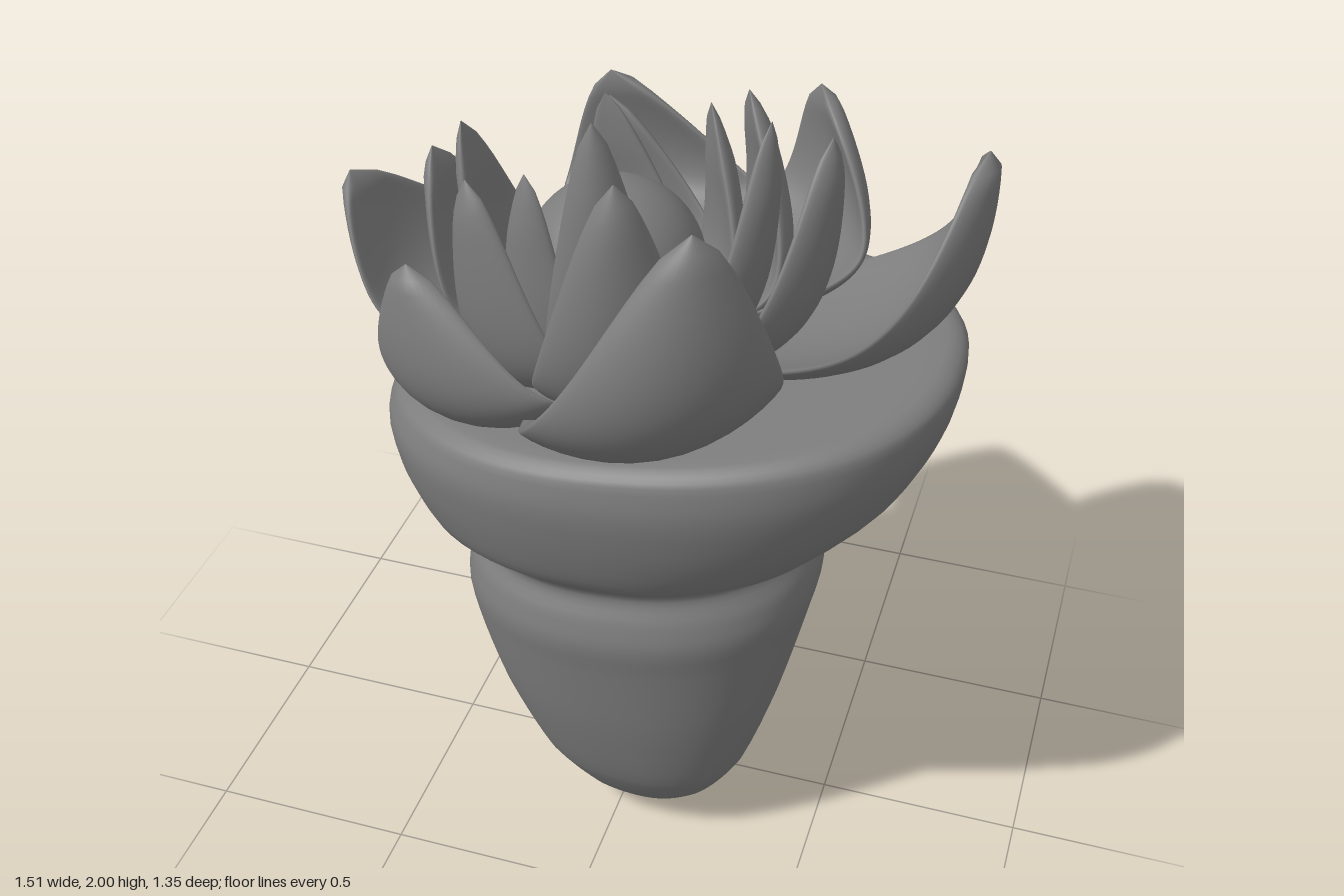
import * as THREE from 'three';

const V = (x, y, z) => new THREE.Vector3(x, y, z);
const material = new THREE.MeshStandardMaterial({ color: 0x7c7c7c });
const heart = V(-0.075, 1.49, -0.015);
const flowerUp = V(-0.16, 1, -0.08).normalize();

// Smooth skin over closed rings of equal point count
function loft(rings) {
  const n = rings[0].length, index = [];
  for (let i = 0; i < rings.length - 1; i++) {
    for (let j = 0; j < n; j++) {
      const k = (j + 1) % n, a = i * n, b = a + n;
      index.push(a + j, b + j, a + k, b + j, b + k, a + k);
    }
  }
  const geometry = new THREE.BufferGeometry().setFromPoints(rings.flat());
  geometry.setIndex(index);
  geometry.computeVertexNormals();
  return geometry;
}

function add(parent, name, geometry) {
  const mesh = new THREE.Mesh(geometry, material);
  mesh.name = name;
  parent.add(mesh);
  return mesh;
}

// Cone and bowl sections: centre x, y, z, radius x, radius z, tilt along x
const sections = [
  [0.06, 0, 0.13, 0.002, 0.002, 0],
  [0.06, 0.008, 0.13, 0.055, 0.042, 0],
  [0.06, 0.03, 0.13, 0.107, 0.08, 0],
  [0.055, 0.1, 0.127, 0.194, 0.145, 0],
  [0.043, 0.2, 0.12, 0.27, 0.203, 0],
  [0.022, 0.4, 0.085, 0.358, 0.277, 0.02],
  [0.01, 0.6, 0.04, 0.42, 0.34, 0.06],
  [0.01, 0.7, 0.02, 0.44, 0.367, 0.08],
  [0.01, 0.76, 0.015, 0.433, 0.355, 0.08],
  [0.01, 0.815, 0.01, 0.41, 0.335, 0.08],
  [-0.02, 0.865, 0.01, 0.447, 0.37, 0.05],
  [-0.01, 0.93, 0.01, 0.52, 0.44, 0.03],
  [0.03, 1.06, -0.005, 0.62, 0.495, 0.06],
  [0.055, 1.19, -0.02, 0.667, 0.525, 0.1],
  [0.07, 1.27, -0.03, 0.663, 0.52, 0.13],
  [0.07, 1.3, -0.03, 0.615, 0.48, 0.14],
  [0.06, 1.3, -0.03, 0.48, 0.37, 0.14],
  [0.06, 1.3, -0.03, 0.002, 0.002, 0.14],
];

function bodyGeometry() {
  const centres = new THREE.CatmullRomCurve3(sections.map(s => V(s[0], s[1], s[2])));
  const sizes = new THREE.CatmullRomCurve3(sections.map(s => V(s[3], s[4], s[5])));
  const rings = [], steps = (sections.length - 1) * 4, sides = 72;
  const round = v => Math.sign(v) * Math.abs(v) ** 0.9; // slightly squared ellipse
  for (let i = 0; i <= steps; i++) {
    const c = centres.getPoint(i / steps), s = sizes.getPoint(i / steps), ring = [];
    for (let j = 0; j < sides; j++) {
      const a = (j / sides) * Math.PI * 2;
      const x = s.x * round(Math.cos(a)), z = s.y * round(Math.sin(a));
      ring.push(V(c.x + x, Math.max(0, c.y + s.z * (x - 0.14 * z)), c.z + z));
    }
    rings.push(ring);
  }
  return loft(rings);
}

// Cupped pointed petal: runs outward from the heart, bends up at the bulge, ends at its tip
function petalGeometry([tx, ty, tz, bx, bz, width], reach) {
  const out = V(bx - heart.x, 0, bz - heart.z).normalize();
  const side = out.clone().cross(flowerUp).normalize();
  const base = heart.clone().addScaledVector(out, reach);
  base.y = 1.3 + 0.14 * (base.x - 0.06) - 0.02 * base.z;
  const bulge = V(bx, 1.31 + 0.14 * bx + 0.06 * bz, bz), tip = V(tx, ty, tz);
  const spine = new THREE.CubicBezierCurve3(
    base, base.clone().lerp(bulge, 0.8), tip.clone().lerp(bulge, 0.8), tip);
  const rings = [], steps = 32, sides = 32;
  for (let i = 0; i <= steps; i++) {
    const t = i / steps;
    const p = spine.getPoint(t);
    const inward = side.clone().cross(spine.getTangent(t)).normalize();
    const w = width * Math.max(0, Math.sin(Math.PI * (0.17 + 0.83 * t))) ** 0.62 + 0.001;
    const thick = Math.min(0.025, w * 0.4);
    const ring = [];
    for (let j = 0; j < sides; j++) {
      const a = (j / sides) * Math.PI * 2, s = Math.cos(a);
      ring.push(p.clone().addScaledVector(side, s * w)
        .addScaledVector(inward, 0.3 * w * s * s + thick * Math.sin(a)));
    }
    rings.push(ring);
  }
  return loft(rings);
}

// Petals: tip x, y, z, bulge x, z, half width
const whorls = [
  ['outerPetal', 0.2, [
    [0.27, 1.95, 0.56, 0.28, 0.74, 0.265],
    [0.73, 1.89, -0.05, 0.76, 0.03, 0.285],
    [0.26, 1.73, -0.57, 0.47, -0.46, 0.25],
    [-0.28, 1.67, -0.61, -0.08, -0.74, 0.27],
    [-0.74, 1.6, -0.06, -0.6, -0.12, 0.285],
    [-0.39, 1.68, 0.41, -0.33, 0.55, 0.265],
  ]],
  ['middlePetal', 0.14, [
    [0.06, 1.93, 0.39, 0.09, 0.48, 0.175],
    [0.41, 1.89, -0.01, 0.44, 0.07, 0.175],
    [0.14, 1.8, -0.35, 0.34, -0.27, 0.16],
    [-0.22, 1.7, -0.42, -0.07, -0.47, 0.175],
    [-0.54, 1.68, -0.09, -0.48, -0.11, 0.19],
    [-0.32, 1.8, 0.24, -0.28, 0.31, 0.17],
  ]],
  ['innerPetal', 0.1, [
    [-0.02, 2.0, 0.285, 0.03, 0.36, 0.135],
    [0.27, 1.89, -0.04, 0.29, 0.05, 0.13],
    [0.07, 1.79, -0.28, 0.21, -0.22, 0.12],
    [-0.2, 1.75, -0.33, -0.09, -0.37, 0.13],
    [-0.46, 1.76, -0.08, -0.39, -0.09, 0.15],
    [-0.21, 1.8, 0.18, -0.22, 0.23, 0.13],
  ]],
];

export function createModel() {
  const group = new THREE.Group();
  group.name = 'flowerCone';
  add(group, 'coneAndBowl', bodyGeometry());
  add(group, 'flowerHeart', new THREE.SphereGeometry(0.21, 40, 28)).position.copy(heart);
  for (const [name, reach, petals] of whorls) {
    const whorl = new THREE.Group();
    whorl.name = name + 's';
    petals.forEach((petal, i) => add(whorl, name + (i + 1), petalGeometry(petal, reach)));
    group.add(whorl);
  }
  return group;
}
